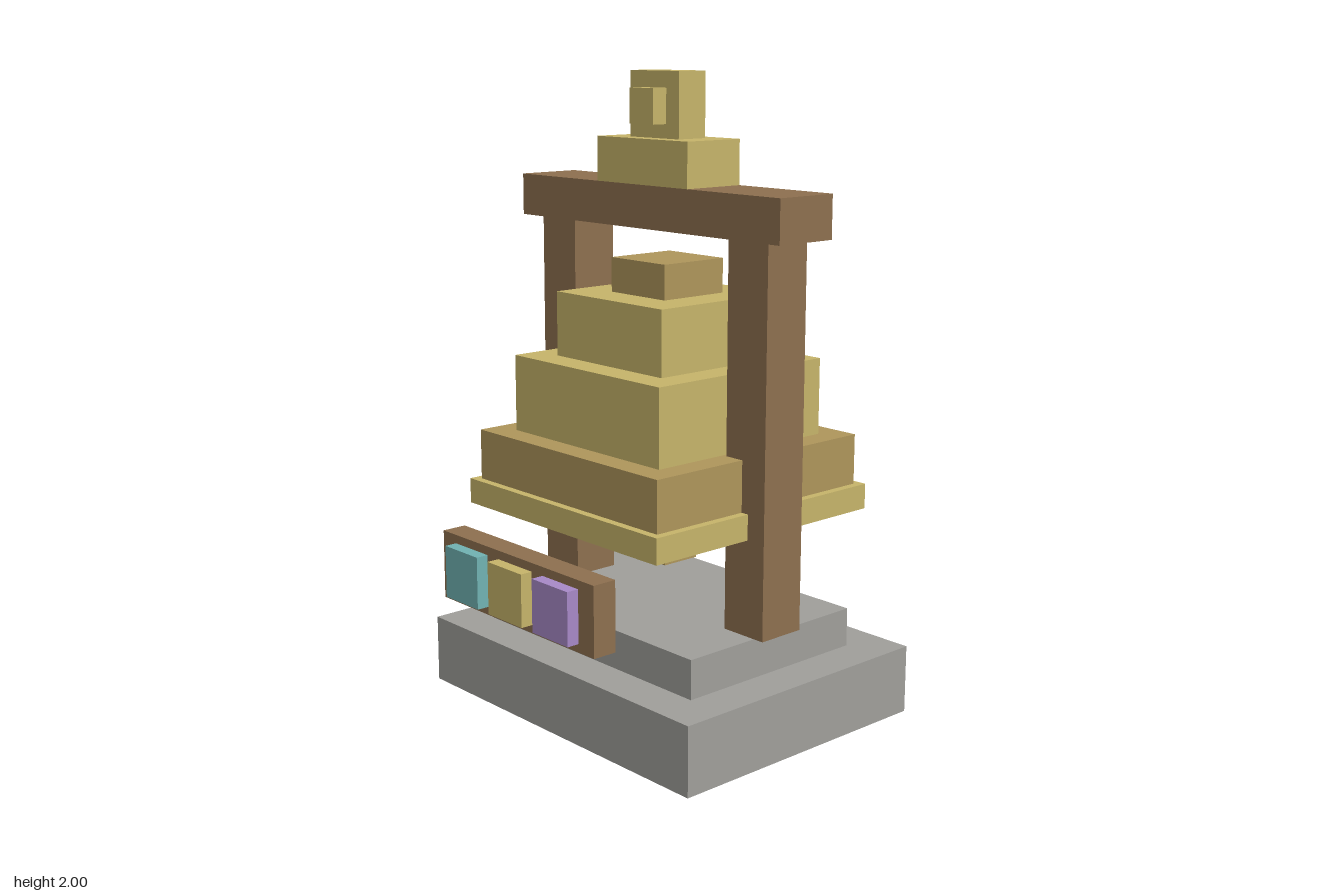
import * as THREE from 'three';

const mat = (name, color) => {
  const m = new THREE.MeshStandardMaterial({ color });
  m.name = name;
  return m;
};

export function createModel() {
  const stone = mat('stone', 0xa1a09c);
  const wood = mat('wood', 0x8f7150);
  const gold = mat('gold', 0xc8b66b);
  const bronze = mat('bronze', 0xb0975c);
  const teal = mat('teal', 0x72b4b4);
  const purple = mat('purple', 0xa98ac9);

  const model = new THREE.Group();
  model.name = 'bellShrine';
  const AXIS = -0.087; // z of the shrine's centre line

  // Box of width w and depth d, spanning y0 to y1
  const block = (parent, name, material, w, d, y0, y1, x = 0, z = AXIS) => {
    const mesh = new THREE.Mesh(new THREE.BoxGeometry(w, y1 - y0, d), material);
    mesh.position.set(x, (y0 + y1) / 2, z);
    mesh.name = name;
    parent.add(mesh);
  };
  const group = (name) => {
    const g = new THREE.Group();
    g.name = name;
    model.add(g);
    return g;
  };

  // Stepped stone base
  const base = group('base');
  block(base, 'lowerStep', stone, 1.215, 0.945, 0, 0.217);
  block(base, 'upperStep', stone, 0.95, 0.675, 0.217, 0.34);

  // Timber frame
  const frame = group('frame');
  block(frame, 'leftPost', wood, 0.16, 0.16, 0.34, 1.53, 0.43);
  block(frame, 'rightPost', wood, 0.16, 0.16, 0.34, 1.53, -0.43);
  block(frame, 'crossBeam', wood, 1.16, 0.215, 1.53, 1.662);

  // Ornament on the beam
  const finial = group('finial');
  block(finial, 'finialBase', gold, 0.406, 0.215, 1.662, 1.8);
  block(finial, 'finialBlock', gold, 0.217, 0.108, 1.8, 2);
  block(finial, 'finialKnob', gold, 0.106, 0.215, 1.843, 1.95);

  // Stepped bell and its clapper
  const bell = group('bell');
  block(bell, 'bellLip', gold, 0.886, 0.888, 0.64, 0.72);
  block(bell, 'bellBand', bronze, 0.834, 0.836, 0.72, 0.88);
  block(bell, 'bellBody', gold, 0.672, 0.675, 0.88, 1.122);
  block(bell, 'bellShoulder', gold, 0.484, 0.486, 1.122, 1.325);
  block(bell, 'bellCrown', bronze, 0.243, 0.243, 1.325, 1.433);
  block(bell, 'clapper', bronze, 0.134, 0.134, 0.47, 0.64);

  // Front panel with three coloured tiles
  const panel = group('panel');
  block(panel, 'panelBoard', wood, 0.725, 0.08, 0.38, 0.597, 0, 0.481);
  [['rightTile', teal, -0.216], ['middleTile', gold, 0], ['leftTile', purple, 0.213]]
    .forEach(([name, material, x]) => block(panel, name, material, 0.162, 0.041, 0.406, 0.57, x, 0.5405));

  return model;
}
